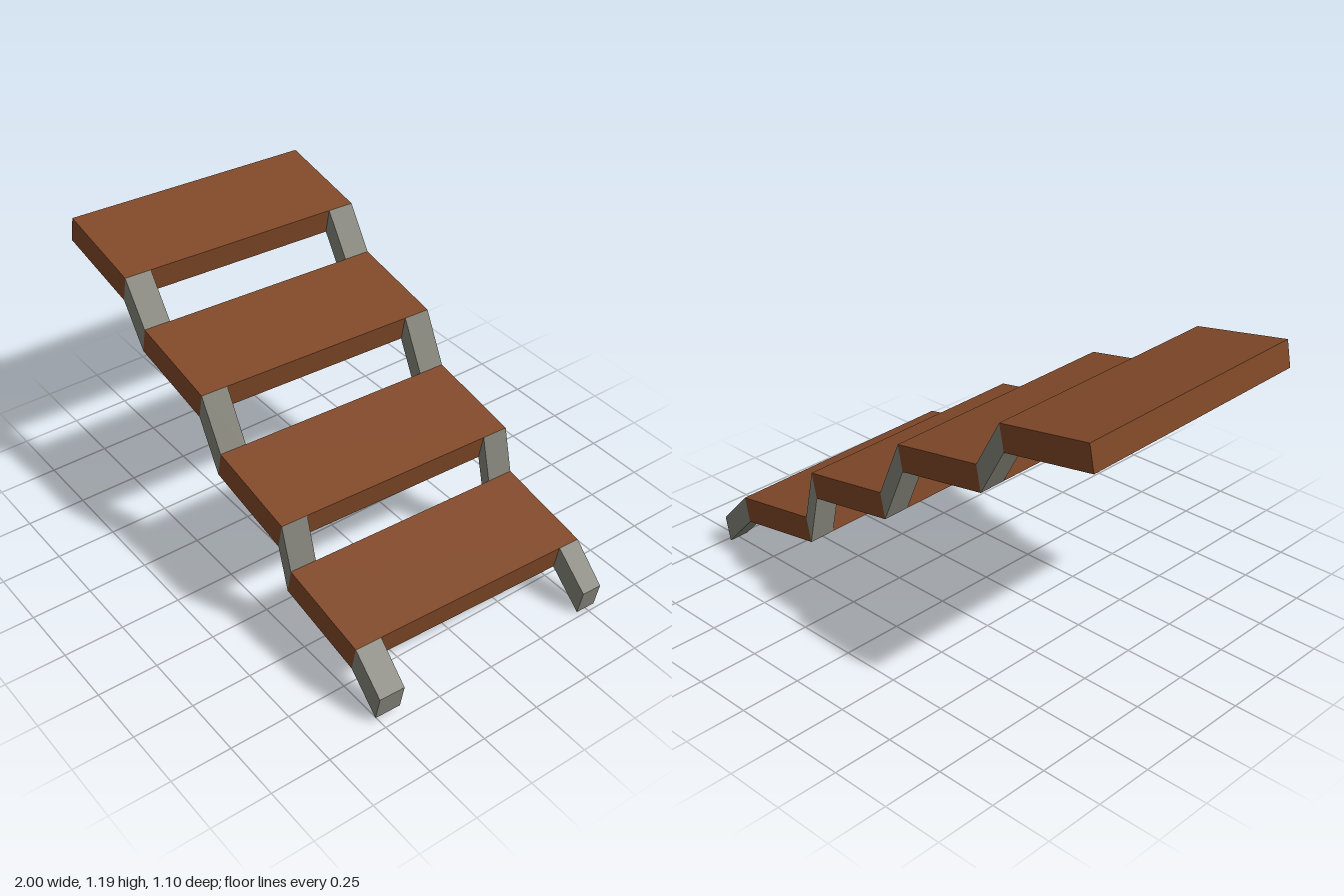
import * as THREE from 'three';

// Solid with two four-cornered ends: corners run top front, top back, bottom back, bottom front
function prism(start, end) {
  const positions = [];
  const quad = (a, b, c, d) => {
    for (const p of [a, b, c, a, c, d]) positions.push(p.x, p.y, p.z);
  };
  quad(...start);
  quad(...[...end].reverse());
  for (let i = 0; i < 4; i++) {
    const j = (i + 1) % 4;
    quad(start[i], end[i], end[j], start[j]);
  }
  const geometry = new THREE.BufferGeometry();
  geometry.setAttribute('position', new THREE.Float32BufferAttribute(positions, 3));
  geometry.computeVertexNormals();
  return geometry;
}

export function createModel() {
  const group = new THREE.Group();
  const wood = new THREE.MeshStandardMaterial({ color: 0x804828, flatShading: true });
  const metal = new THREE.MeshStandardMaterial({ color: 0x85857b, flatShading: true });
  const v = (x, y, z) => new THREE.Vector3(x, y, z);

  const add = (name, geometry, material) => {
    const mesh = new THREE.Mesh(geometry, material);
    mesh.name = name;
    group.add(mesh);
  };

  // Shared edges of every tread: depth, length and thickness
  const depth = v(0.403, -0.071, 0.006);
  const length = v(0.015, -0.03, -1.063);
  const thickness = v(-0.019, -0.107, 0.003);

  // Upper front corner of each tread, from top to bottom
  const origins = [
    v(-0.98, 1.186, 0.54), v(-0.48, 0.927, 0.534),
    v(0.01, 0.629, 0.525), v(0.445, 0.353, 0.517),
  ];

  // Cross-section of a tread at depth a, between fractions b0 and b1 of its length
  const section = (origin, a, b0, b1) =>
    [[b0, 0], [b1, 0], [b1, 1], [b0, 1]].map(([b, c]) => origin.clone()
      .addScaledVector(depth, a).addScaledVector(length, b).addScaledVector(thickness, c));

  // Left end of the section where each leg meets the ground
  const feet = [
    section(v(0.98, 0.133, 0.514), 0, 0, 0.104),
    section(v(0.985, 0.137, 0.516), 0, 0.918, 1),
  ];

  const sides = [['front', 0, 0.106], ['back', 0.894, 1]];
  origins.forEach((origin, i) => {
    add(`tread${i + 1}`, prism(section(origin, 0, 0, 1), section(origin, 1, 0, 1)), wood);

    // Slanted links down to the next tread, or the feet below the last one
    const next = origins[i + 1];
    sides.forEach(([side, b0, b1], k) => {
      const inner = !next && k === 1 ? 0.912 : b0;
      const start = section(origin, 1, inner, b1);
      const end = next ? section(next, 0, b0, b1) : feet[k];
      add(next ? `${side}Link${i + 1}` : `${side}Foot`, prism(start, end), metal);
    });
  });

  return group;
}
